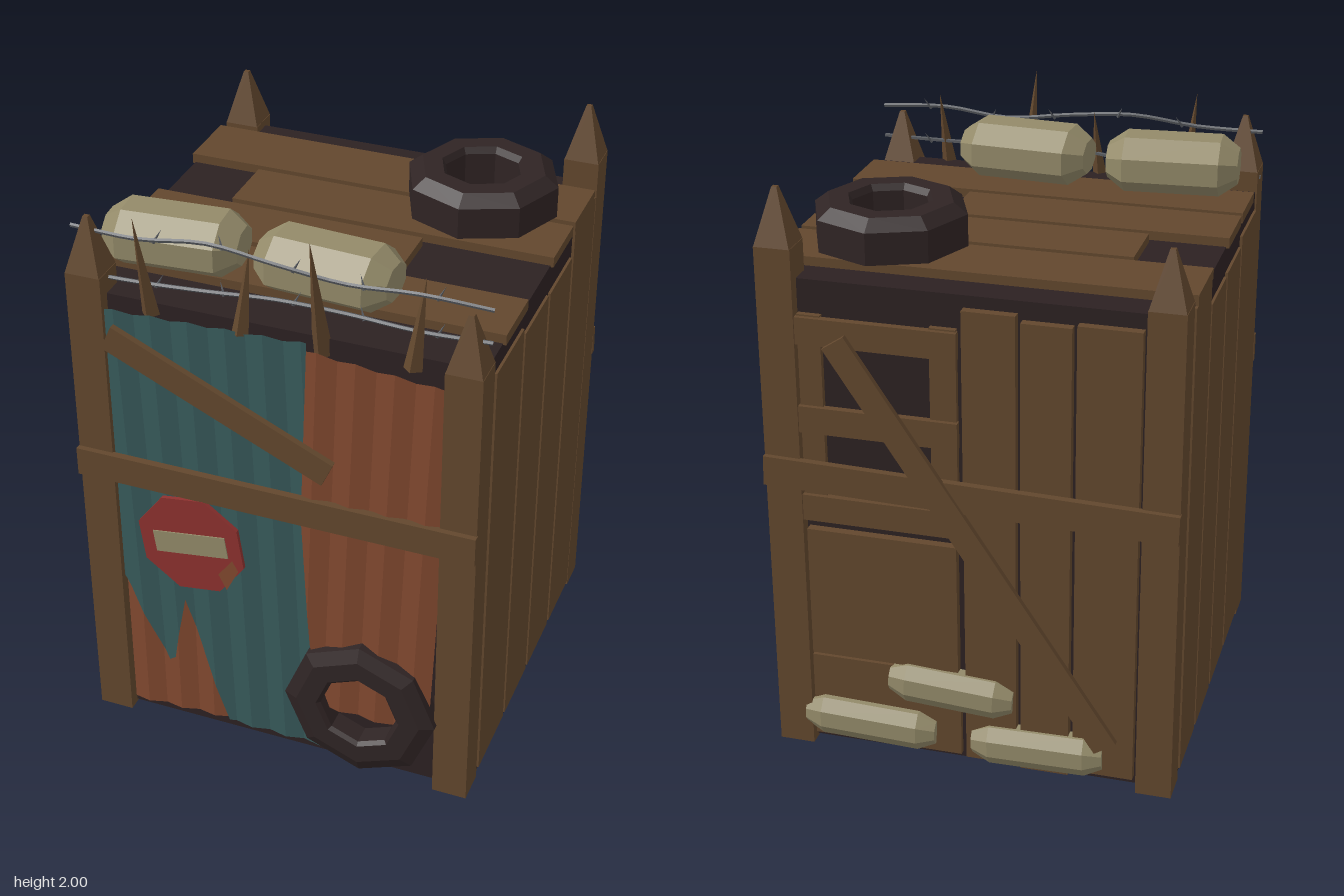
import * as THREE from 'three';

const mat = (name, color, extra = {}) => {
  const m = new THREE.MeshStandardMaterial({ color, flatShading: true, ...extra });
  m.name = name;
  return m;
};

export function createModel() {
  const root = new THREE.Group();
  root.name = 'scrapCrate';
  const wood = mat('wood', 0x62472d);
  const dark = mat('darkCore', 0x2c2122, { side: THREE.DoubleSide });
  const rubber = mat('rubber', 0x2f2424);
  const teal = mat('tealSheet', 0x37595a, { side: THREE.DoubleSide });
  const rust = mat('rustSheet', 0x81482f, { side: THREE.DoubleSide });
  const canvas = mat('canvas', 0x938a69);
  const red = mat('signRed', 0x8d312e);
  const steel = mat('wireSteel', 0x585b60);

  const add = (name, geo, material, pos = [0, 0, 0], rot = [0, 0, 0], parent = root) => {
    const m = new THREE.Mesh(geo, material);
    m.name = name;
    m.position.set(...pos);
    m.rotation.set(...rot);
    parent.add(m);
    return m;
  };
  // Board given by its min and max corners
  const board = (name, x0, x1, y0, y1, z0, z1, material = wood) =>
    add(name, new THREE.BoxGeometry(x1 - x0, y1 - y0, z1 - z0), material,
      [(x0 + x1) / 2, (y0 + y1) / 2, (z0 + z1) / 2]);

  // Core: four walls and a roof, open below
  const core = new THREE.BoxGeometry(1.33, 1.65, 1.24);
  const idx = Array.from(core.index.array);
  idx.splice(18, 6); // remove the floor
  core.setIndex(idx);
  core.clearGroups();
  add('core', core, dark, [0, 0.835, 0]);

  // Corner posts with pointed tops
  for (const [sx, sz, peak] of [[-1, 1, 1.91], [1, 1, 1.83], [-1, -1, 1.865], [1, -1, 1.945]]) {
    const post = new THREE.Group();
    post.name = 'cornerPost';
    post.position.set(sx * 0.612, 0, sz * 0.605);
    const shoulder = peak - 0.18;
    add('postShaft', new THREE.BoxGeometry(0.118, shoulder, 0.112), wood, [0, shoulder / 2, 0], [0, 0, 0], post);
    const tip = new THREE.CylinderGeometry(0.012, 0.0815, 0.18, 4);
    tip.rotateY(Math.PI / 4);
    add('postTip', tip, wood, [0, shoulder + 0.09, 0], [0, 0, 0], post);
    root.add(post);
  }

  // Side planks: z start, z end, top
  const sidePlanks = [[0.265, 0.535, 1.6], [0, 0.245, 1.57], [-0.265, -0.02, 1.565], [-0.53, -0.285, 1.655]];
  for (const s of [-1, 1]) {
    for (const [z0, z1, top] of sidePlanks) {
      const x = [s * 0.655, s * 0.674].sort((a, b) => a - b);
      board('sidePlank', x[0], x[1], 0.03, top, z0, z1);
    }
  }

  // Roof planks: x start, x end, z start, z end
  for (const [x0, x1, z0, z1] of [[-0.675, 0.675, -0.51, -0.275], [-0.42, 0.675, -0.25, -0.03],
    [-0.675, 0.25, -0.005, 0.215], [-0.675, 0.675, 0.24, 0.46]]) {
    board('roofPlank', x0, x1, 1.655, 1.69, z0, z1);
  }

  // Corrugated sheets: top and bottom edges are polylines over x
  const FOLD = 0.062;
  const along = (pts, x) => {
    for (let i = 1; i < pts.length; i++) {
      if (x <= pts[i][0] + 1e-6) {
        const [a, b] = [pts[i - 1], pts[i]];
        return a[1] + (b[1] - a[1]) * (x - a[0]) / (b[0] - a[0]);
      }
    }
    return pts[pts.length - 1][1];
  };
  const sheet = (name, material, top, bottom, z, tilt) => {
    const x0 = top[0][0], x1 = top[top.length - 1][0];
    const xs = bottom.map(p => p[0]).concat(top.map(p => p[0]));
    for (let k = Math.ceil(x0 / FOLD); k * FOLD < x1; k++) xs.push(k * FOLD);
    xs.sort((a, b) => a - b);
    const wave = x => 0.014 * Math.abs((((x / FOLD) % 2) + 2) % 2 - 1);
    const crimp = x => 0.018 * (Math.abs((((x / FOLD) % 2) + 2) % 2 - 1) - 0.5);
    const v = [];
    for (let i = 1; i < xs.length; i++) {
      const [a, b] = [xs[i - 1], xs[i]];
      if (b - a < 1e-5) continue;
      const A = [a, along(bottom, a), wave(a)], B = [b, along(bottom, b), wave(b)];
      const C = [b, along(top, b) + crimp(b), wave(b)], D = [a, along(top, a) + crimp(a), wave(a)];
      v.push(...A, ...B, ...C, ...A, ...C, ...D);
    }
    const g = new THREE.BufferGeometry();
    g.setAttribute('position', new THREE.Float32BufferAttribute(v, 3));
    g.translate(0, -0.85, 0);
    g.computeVertexNormals();
    add(name, g, material, [0, 0.85, z], [0, 0, tilt]);
  };
  sheet('rustPatch', rust, [[-0.555, 0.75], [-0.15, 0.75]], [[-0.555, 0.03], [-0.15, 0.05]], 0.622, 0);
  sheet('tealSheet', teal, [[-0.575, 1.635], [0.14, 1.64]],
    [[-0.575, 0.62], [-0.54, 0.56], [-0.42, 0.27], [-0.395, 0.29], [-0.34, 0.55], [-0.21, 0.06], [0.14, 0.05]],
    0.64, 0.03);
  sheet('rustSheet', rust, [[0.088, 1.63], [0.555, 1.61]],
    [[0.088, 1.0], [0.135, 0.5], [0.18, 0.25], [0.555, 0.25]], 0.652, -0.04);

  // Front braces
  board('frontBrace', -0.673, 0.673, 0.99, 1.09, 0.655, 0.68);
  add('frontDiagonal', new THREE.BoxGeometry(0.8, 0.09, 0.022), wood, [-0.17, 1.375, 0.675], [0, 0, -0.43]);

  // Road sign
  const sign = new THREE.Group();
  sign.name = 'roadSign';
  sign.position.set(-0.282, 0.808, 0.674);
  sign.rotation.z = 0.14;
  const disc = new THREE.CylinderGeometry(0.19, 0.19, 0.014, 8);
  disc.rotateY(Math.PI / 8);
  disc.rotateX(Math.PI / 2);
  add('signPlate', disc, red, [0, 0, 0], [0, 0, 0], sign);
  add('signBar', new THREE.BoxGeometry(0.255, 0.08, 0.006), canvas, [0, 0.004, 0.008], [0, 0, 0], sign);
  const chip = new THREE.Shape([[0.08, -0.105], [0.10, -0.165], [0.155, -0.085], [0.14, -0.045]]
    .map(p => new THREE.Vector2(...p)));
  add('signRust', new THREE.ShapeGeometry(chip), rust, [0, 0, 0.0085], [0, 0, 0], sign);
  root.add(sign);

  // Eight-sided tyres
  const tyre = (name, r, h, pos, rot) => {
    const hole = r * 0.505;
    const profile = [[hole, 0], [r, 0], [r, h * 0.75], [r * 0.82, h], [hole * 1.1, h], [hole, h * 0.85], [hole, 0]];
    add(name, new THREE.LatheGeometry(profile.map(p => new THREE.Vector2(...p)), 8), rubber, pos, rot);
  };
  tyre('roofTyre', 0.253, 0.14, [0.355, 1.69, -0.29], [0, 0, 0]);
  tyre('frontTyre', 0.262, 0.08, [0.3, 0.288, 0.622], [Math.PI / 2, 0, 0]);

  // Sandbags: tapered eight-sided rolls lying along x
  const sandbag = (pos, len, height, depth, rot) => {
    const e = len / 2, s = e - 0.06;
    const g = new THREE.LatheGeometry([[0, -e], [0.62, -e], [1.06, -s], [1.06, s], [0.62, e], [0, e]]
      .map(p => new THREE.Vector2(...p)), 8, Math.PI / 8);
    g.rotateZ(Math.PI / 2);
    g.scale(1, height / 2, depth / 2);
    add('sandbag', g, canvas, pos, rot);
  };
  sandbag([-0.405, 1.785, 0.418], 0.44, 0.19, 0.25, [0, 0.08, 0]);
  sandbag([0.103, 1.785, 0.425], 0.44, 0.19, 0.25, [0, -0.07, 0]);
  sandbag([0.35, 0.11, -0.64], 0.45, 0.14, 0.1, [0, 0, 0.03]);
  sandbag([0.07, 0.28, -0.64], 0.42, 0.14, 0.1, [0, 0, 0.06]);
  sandbag([-0.22, 0.1, -0.64], 0.44, 0.14, 0.1, [0, 0, -0.02]);

  // Stakes above the front: base, tip, radius
  const up = new THREE.Vector3(0, 1, 0);
  const spike = (name, a, b, r, material) => {
    const A = new THREE.Vector3(...a), d = new THREE.Vector3(...b).sub(A);
    const m = add(name, new THREE.ConeGeometry(r, d.length(), 4), material);
    m.position.copy(A).addScaledVector(d, 0.5);
    m.quaternion.setFromUnitVectors(up, d.normalize());
  };
  spike('stake', [-0.405, 1.62, 0.62], [-0.435, 1.96, 0.65], 0.03, wood);
  spike('stake', [-0.105, 1.62, 0.63], [-0.09, 1.89, 0.58], 0.028, wood);
  spike('stake', [0.155, 1.6, 0.61], [0.135, 2.0, 0.66], 0.035, wood);
  spike('stake', [0.445, 1.62, 0.63], [0.465, 1.91, 0.58], 0.03, wood);

  // Barbed wire
  for (const ys of [[1.86, 1.86, 1.885, 1.865, 1.84, 1.86, 1.85], [1.7, 1.71, 1.72, 1.745, 1.74, 1.735, 1.74]]) {
    const pts = ys.map((y, i) => new THREE.Vector3(-0.675 + i * 0.225, y, 0.592 + 0.008 * (i % 2)));
    const path = new THREE.CatmullRomCurve3(pts);
    add('barbedWire', new THREE.TubeGeometry(path, 24, 0.007, 5), steel);
    for (let i = 1; i < 6; i++) {
      const p = path.getPoint(i / 6 + 0.04);
      const s = i % 2 ? 1 : -1;
      spike('barb', [p.x, p.y - 0.01, p.z], [p.x + 0.02 * s, p.y + 0.03, p.z - 0.02], 0.006, steel);
    }
  }

  // Back: upright planks
  for (const [x0, x1, y0, y1] of [[-0.15, 0.02, 0.03, 1.62], [-0.325, -0.165, 0.02, 1.6], [-0.54, -0.34, 0.04, 1.61]]) {
    board('backPlank', x0, x1, y0, y1, -0.65, -0.615);
  }
  // Back: boarded window, door panel and lower boards
  for (const [x0, x1] of [[0.04, 0.125], [0.475, 0.55]]) board('windowStile', x0, x1, 0.86, 1.55, -0.64, -0.615);
  for (const y of [1.5, 1.2, 0.89]) board('windowRail', 0.035, 0.555, y - 0.045, y + 0.045, -0.655, -0.63);
  board('doorPanel', 0.045, 0.545, 0.35, 0.81, -0.65, -0.615);
  board('lowerBoard', 0.04, 0.55, 0.03, 0.335, -0.64, -0.615);
  // Back: braces
  add('backBrace', new THREE.BoxGeometry(1.345, 0.1, 0.025), wood, [0, 1.0, -0.667], [0, 0, 0.025]);
  add('backDiagonal', new THREE.BoxGeometry(1.58, 0.085, 0.02), wood, [-0.02, 0.83, -0.683],
    [0, 0, Math.atan2(1.31, 0.87)]);

  return root;
}
